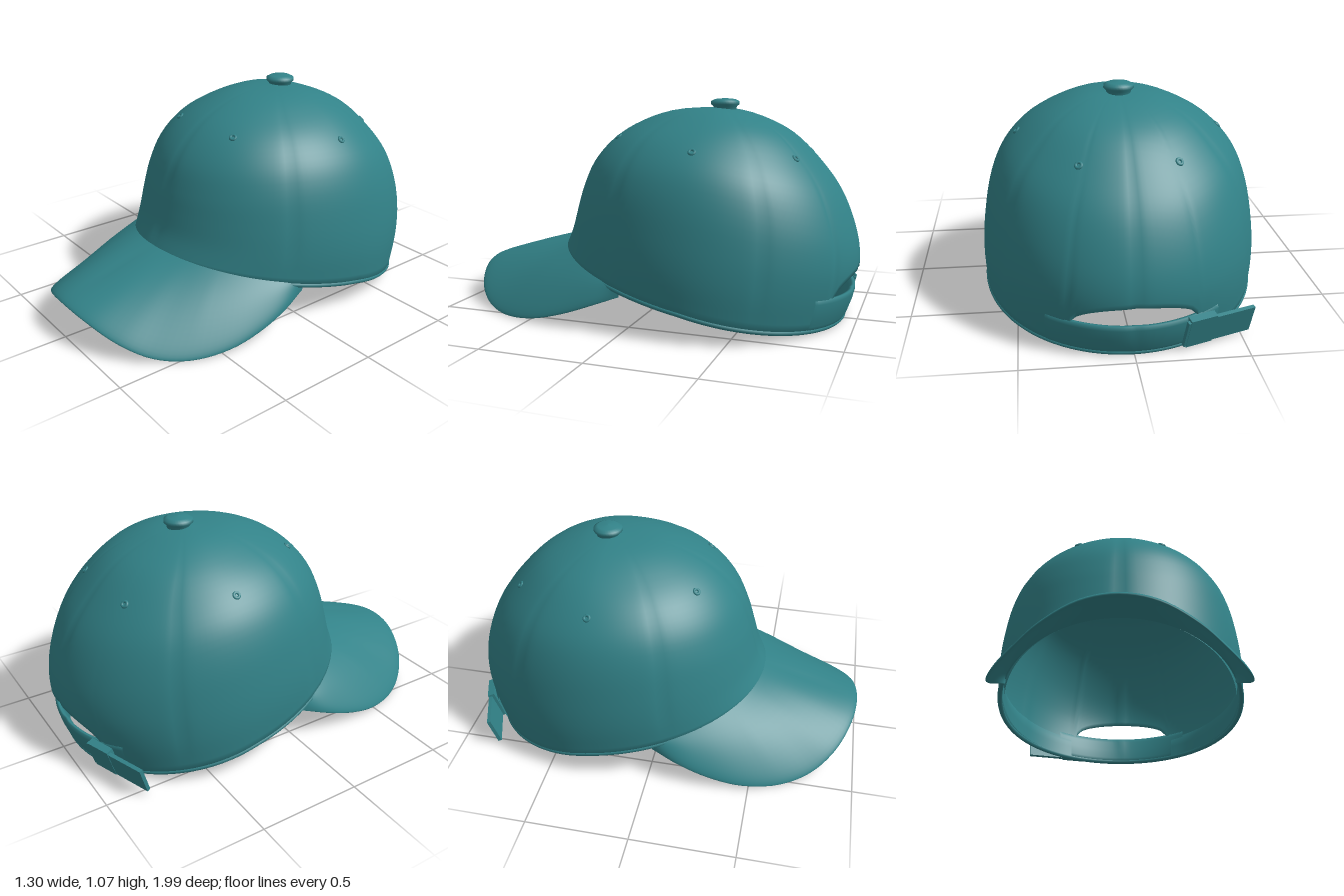
import * as THREE from 'three';

const CZ = -0.3; // axis of the crown

// Crown profiles from hem to apex: [distance from axis, height]
const profile = (pts) => new THREE.CatmullRomCurve3(pts.map(([r, y]) => new THREE.Vector3(r, y, 0)));
const FRONT = profile([[0.81, 0.325], [0.765, 0.42], [0.735, 0.52], [0.705, 0.62], [0.65, 0.75], [0.56, 0.86], [0.44, 0.945], [0.25, 1.015], [0, 1.035]]);
const SIDE = profile([[0.645, 0.145], [0.652, 0.3], [0.64, 0.45], [0.605, 0.63], [0.55, 0.76], [0.46, 0.865], [0.34, 0.95], [0.18, 1.015], [0, 1.035]]);
const BACK = profile([[0.635, 0.025], [0.68, 0.17], [0.7, 0.29], [0.685, 0.42], [0.615, 0.61], [0.52, 0.75], [0.36, 0.91], [0.17, 1.0], [0, 1.035]]);

// Point on the crown: angle a from the front, t from hem to apex, offset outward
function crownPoint(a, t, off = 0) {
  const f = FRONT.getPoint(t), s = SIDE.getPoint(t), b = BACK.getPoint(t);
  const c = Math.cos(a);
  const y = s.y + c * (f.y - b.y) / 2 + c * c * ((f.y + b.y) / 2 - s.y);
  const seamGap = Math.abs(a / (Math.PI / 3) - Math.round(a / (Math.PI / 3))) * 60;
  const groove = 1 - 0.009 * Math.exp(-((seamGap / 2.2) ** 2)) * Math.min(1, t * 6);
  const radius = (r) => Math.max(0, r * groove + off);
  return new THREE.Vector3(radius(s.x) * Math.sin(a), y + off * t, CZ + radius(c > 0 ? f.x : b.x) * c);
}

// Parameter t at which the crown reaches height y
function heightToT(a, y) {
  let lo = 0, hi = 1;
  for (let i = 0; i < 24; i++) {
    const mid = (lo + hi) / 2;
    if (crownPoint(a, mid).y < y) lo = mid; else hi = mid;
  }
  return lo;
}

// Smooth surface from a grid of points; faces look along u x v
function grid(nu, nv, closed, fn) {
  const pos = [], index = [], cols = closed ? nu : nu + 1;
  for (let i = 0; i < cols; i++)
    for (let j = 0; j <= nv; j++) pos.push(...fn(i / nu, j).toArray());
  for (let i = 0; i < nu; i++)
    for (let j = 0; j < nv; j++) {
      const a = i * (nv + 1) + j, b = ((i + 1) % cols) * (nv + 1) + j;
      index.push(a, b, b + 1, a, b + 1, a + 1);
    }
  const g = new THREE.BufferGeometry();
  g.setAttribute('position', new THREE.Float32BufferAttribute(pos, 3));
  g.setIndex(index);
  g.computeVertexNormals();
  return g;
}

export function createModel() {
  const model = new THREE.Group();
  model.name = 'cap';
  const teal = new THREE.MeshStandardMaterial({ color: 0x328288, side: THREE.DoubleSide });
  teal.name = 'teal cloth';
  const add = (name, geometry) => {
    const m = new THREE.Mesh(geometry, teal);
    m.name = name;
    model.add(m);
    return m;
  };

  // Crown: lining down to the edge, then outside up to the apex, with an arch cut at the back
  const N = 32, OPEN = 0.44;
  const bottomT = (a) => {
    const d = Math.abs(a - Math.PI) / OPEN;
    return d < 1 ? heightToT(a, 0.17 + 0.1 * Math.sqrt(1 - d * d)) : 0;
  };
  add('crown', grid(144, 2 * N + 1, true, (u, j) => {
    const a = u * Math.PI * 2, t0 = bottomT(a);
    const inner = j <= N;
    const k = inner ? 1 - j / N : (j - N - 1) / N;
    return crownPoint(a, t0 + (1 - t0) * k, inner ? -0.02 : 0);
  }));

  // Sweatband inside the hem
  add('sweatband', grid(96, 4, false, (u, j) => {
    const a = -Math.PI + 0.5 + u * (Math.PI * 2 - 1);
    return crownPoint(a, 0.1 * (1 - j / 4), j === 0 ? -0.022 : -0.032);
  }));

  // Piping around the hem
  const hemPoints = [];
  for (let i = 0; i < 72; i++) hemPoints.push(crownPoint(i / 72 * Math.PI * 2, 0, -0.008));
  add('hem', new THREE.TubeGeometry(new THREE.CatmullRomCurve3(hemPoints, true), 144, 0.013, 8, true));

  // Brim: swept from the hem to a curved outer edge, with a rounded rim
  const half = [[0.16, 0.165, 0.975], [0.32, 0.1, 0.905], [0.44, 0.04, 0.795], [0.53, 0.018, 0.65],
    [0.59, 0.035, 0.47], [0.61, 0.08, 0.3], [0.605, 0.135, 0.15], [0.575, 0.185, 0.02]];
  const edge = new THREE.CatmullRomCurve3([
    ...half.map(([x, y, z]) => new THREE.Vector3(-x, y, z)).reverse(),
    new THREE.Vector3(0, 0.187, 0.995),
    ...half.map((p) => new THREE.Vector3(...p))]);
  const M = 16;
  add('brim', grid(80, 2 * M, false, (u, j) => {
    const side = 2 * u - 1;
    const under = j < M;
    const k = under ? j / M : (2 * M - j) / M;
    const w = Math.sin(k * Math.PI / 2); // dense rows near the rim
    const start = crownPoint(side * 1.16, 0.01, -0.015);
    const p = start.lerp(edge.getPoint(u), w);
    p.y += 0.035 * Math.sin(w * Math.PI) * Math.min(1, Math.abs(side) * 2) * (1.2 - Math.abs(side));
    p.y += (under ? -1 : 1) * 0.016 * Math.sqrt(Math.max(0, 1 - w ** 12));
    return p;
  }));

  // Strap closing the back opening: a closed band section swept along the hem
  add('strap', grid(40, 12, false, (u, j) => {
    const a = Math.PI + (u - 0.5) * 1.24;
    const top = heightToT(a, crownPoint(a, 0).y + 0.15);
    const q = j / 12 * Math.PI * 2;
    const t = top * Math.min(1, Math.max(0, 0.5 - 0.7 * Math.cos(q)));
    return crownPoint(a, t, -0.01 - 0.018 * Math.sin(q));
  }));

  // Loose strap end and its buckle
  const plate = (name, size, position) => {
    const m = add(name, new THREE.BoxGeometry(...size));
    m.position.set(...position);
    m.rotation.set(-0.3, 0.34, 0, 'YXZ');
  };
  plate('strapEnd', [0.34, 0.14, 0.018], [-0.38, 0.1, -0.882]);
  plate('buckle', [0.13, 0.155, 0.035], [-0.29, 0.105, -0.908]);

  // Button on top
  const knob = add('button', new THREE.LatheGeometry(
    [[0.055, 0], [0.058, 0.02], [0.071, 0.032], [0.07, 0.047], [0.05, 0.057], [0, 0.062]]
      .map(([r, y]) => new THREE.Vector2(r, y)), 32));
  knob.position.set(0, 1.016, -0.32);

  // Stitched eyelets, one per panel
  for (let i = 0; i < 6; i++) {
    const a = (i + 0.5) * Math.PI / 3;
    const p = crownPoint(a, heightToT(a, 0.85 + 0.045 * Math.cos(a)));
    const eyelet = add('eyelet', new THREE.TorusGeometry(0.013, 0.007, 8, 16));
    eyelet.position.copy(p);
    const e = 0.01;
    const t = heightToT(a, p.y);
    const normal = crownPoint(a + e, t).sub(p).cross(crownPoint(a, t + e).sub(p));
    eyelet.lookAt(p.clone().add(normal.normalize()));
  }
  return model;
}
